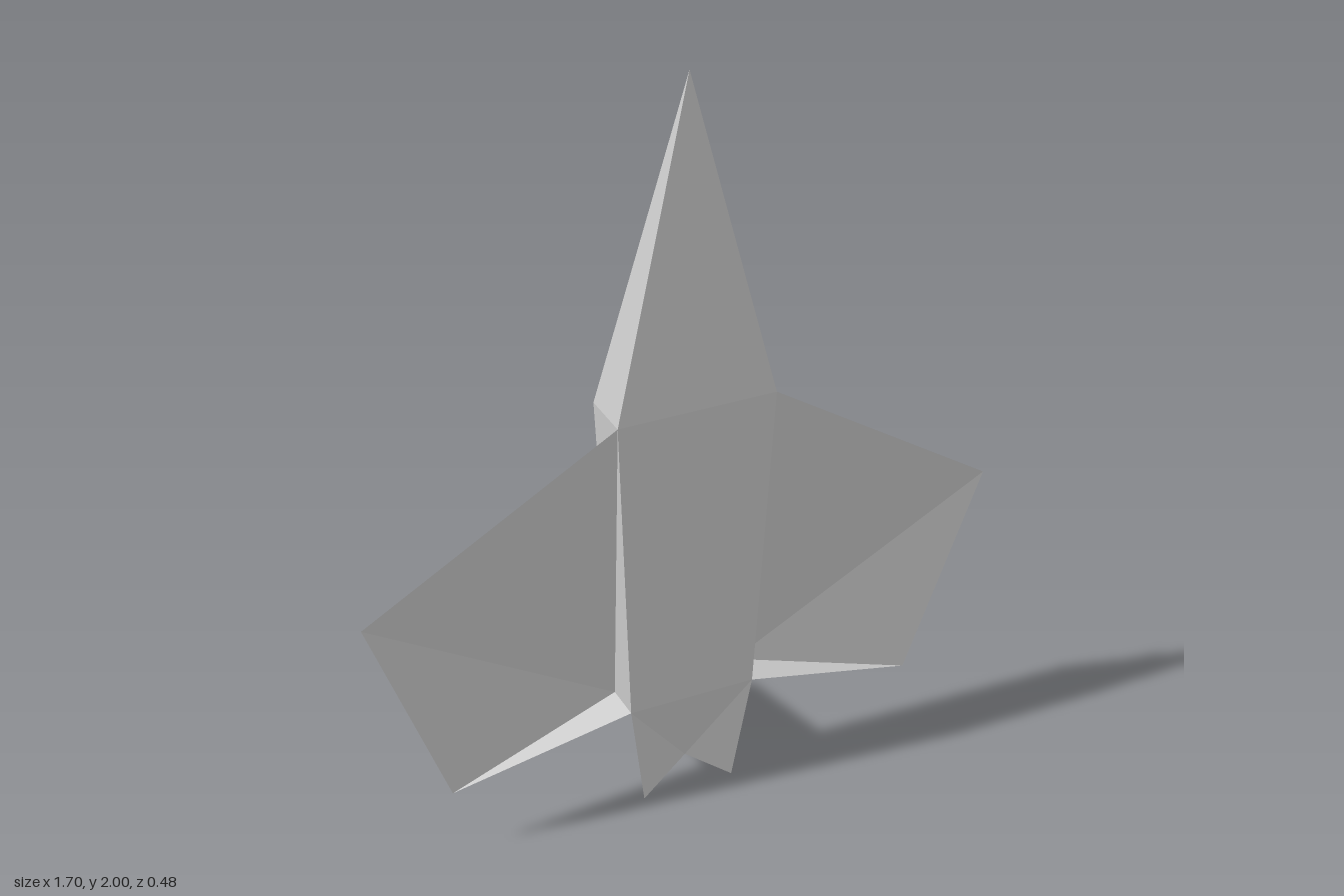
import * as THREE from 'three';

const material = new THREE.MeshStandardMaterial({
  color: 0xcccccc, flatShading: true, side: THREE.DoubleSide,
});

// Faceted mesh from triangles given as corner points
function facets(name, triangles) {
  const geometry = new THREE.BufferGeometry();
  geometry.setAttribute('position', new THREE.Float32BufferAttribute(triangles.flat(2), 3));
  geometry.computeVertexNormals();
  const mesh = new THREE.Mesh(geometry, material);
  mesh.name = name;
  return mesh;
}

// Mirror triangles across x, reversing the corner order
const mirror = (triangles) =>
  triangles.map((t) => t.map(([x, y, z]) => [-x, y, z]).reverse());

// Rectangular cross-section, counterclockwise from above
const section = (y, x, front, back) =>
  [[x, y, front], [x, y, back], [-x, y, back], [-x, y, front]];

export function createModel() {
  const group = new THREE.Group();
  const nose = [0, 2, 0.18];
  const tail = [0, 0.09, 0.18];
  const upper = section(1.15, 0.21, 0.24, 0.1);
  const lower = section(0.3, 0.17, 0.22, 0.12);
  const [lowerFront, lowerBack, lowerBackRight] = lower;

  // Fuselage: tapered box with a pointed nose and tail
  const noseFaces = [], bodyFaces = [], tailFaces = [];
  for (let i = 0; i < 4; i++) {
    const j = (i + 1) % 4;
    noseFaces.push([upper[i], upper[j], nose]);
    bodyFaces.push([lower[i], lower[j], upper[j]], [lower[i], upper[j], upper[i]]);
    tailFaces.push([lower[j], lower[i], tail]);
  }
  group.add(
    facets('noseCone', noseFaces),
    facets('fuselage', bodyFaces),
    facets('tailCone', tailFaces),
  );

  // Wings: thin folded sheet with a narrow web along the trailing edge
  const wingTip = [0.85, 0.725, 0.18];
  const wingHeel = [0.64, 0.175, 0.18];
  const wing = [
    [upper[0], wingTip, lowerBack],
    [wingTip, wingHeel, lowerBack],
    [lowerFront, lowerBack, wingHeel],
  ];

  // Small flat fins beside the tail cone
  const fin = [[lowerFront, tail, [0.125, 0, 0.2]]];

  group.add(
    facets('leftWing', wing),
    facets('rightWing', mirror(wing)),
    facets('leftTailFin', fin),
    facets('rightTailFin', mirror(fin)),
  );

  // Rear stabilizer: wedge narrowing to a vertical edge
  const edgeTop = [0, 0.43, -0.155];
  const edgeBottom = [0, 0.09, -0.24];
  group.add(facets('stabilizer', [
    [lowerBack, tail, edgeTop],
    [tail, edgeBottom, edgeTop],
    [lowerBackRight, edgeTop, edgeBottom],
    [lowerBackRight, edgeBottom, tail],
    [lowerBack, edgeTop, lowerBackRight],
  ]));

  return group;
}
